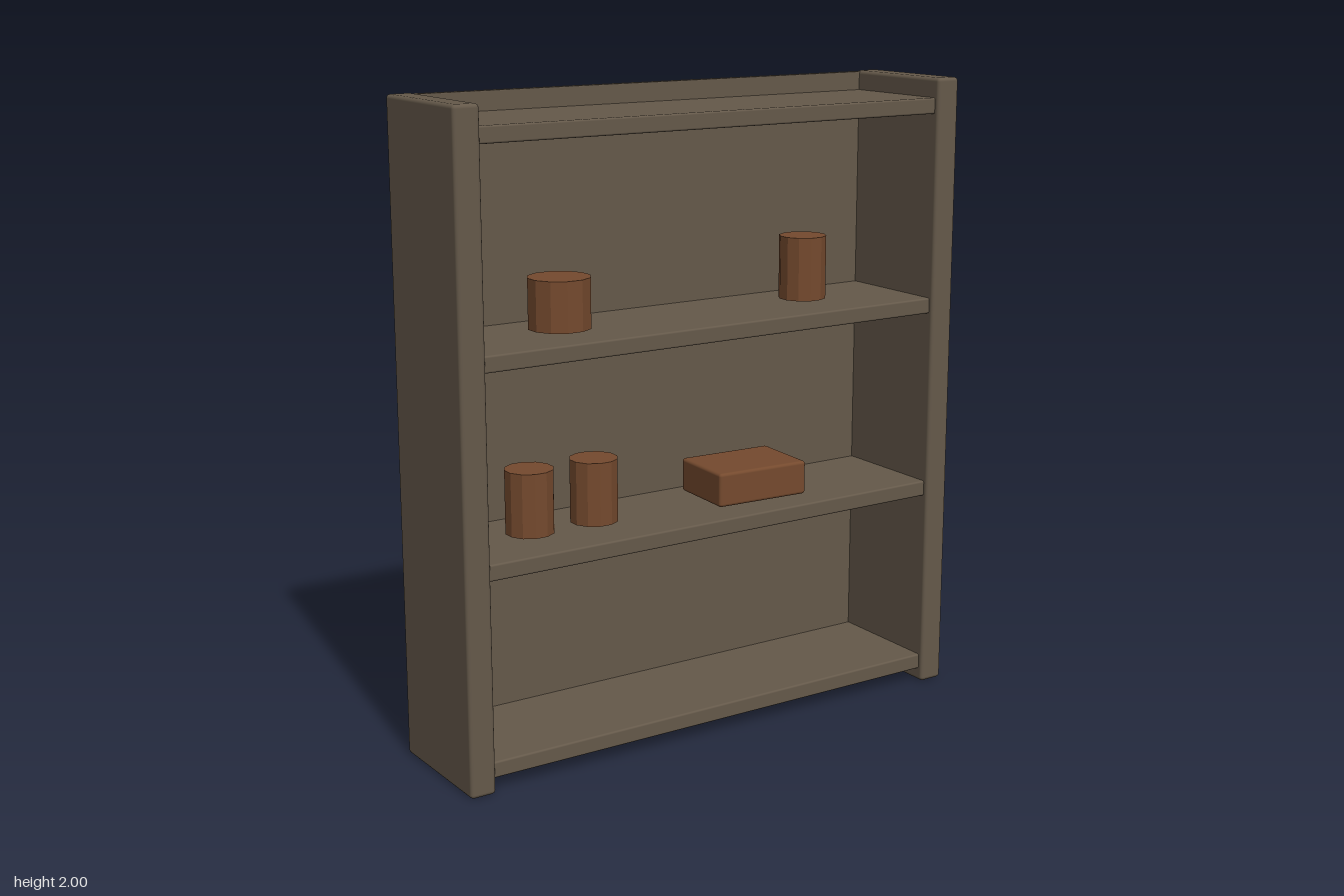
import * as THREE from 'three';
import { RoundedBoxGeometry } from 'three/addons/geometries/RoundedBoxGeometry.js';

export function createModel() {
  const model = new THREE.Group();
  model.name = 'wallShelf';

  const wood = new THREE.MeshStandardMaterial({ color: 0x65594a });
  wood.name = 'greyBrownWood';
  const clay = new THREE.MeshStandardMaterial({ color: 0x754a2e });
  clay.name = 'warmBrown';

  const add = (name, geometry, material, x, y, z) => {
    const mesh = new THREE.Mesh(geometry, material);
    mesh.name = name;
    mesh.position.set(x, y, z);
    model.add(mesh);
    return mesh;
  };
  const board = (w, h, d, bevel) => new RoundedBoxGeometry(w, h, d, 2, bevel);

  // Upright side panels
  for (const [name, side] of [['leftPanel', 1], ['rightPanel', -1]]) {
    add(name, board(0.082, 2, 0.418, 0.012), wood, side * 0.845, 1, 0.003);
  }

  // Back panel, let into the sides
  add('backPanel', board(1.665, 1.994, 0.026, 0.003), wood, 0, 1, -0.2);

  // Horizontal shelves, slightly set back from the front
  [0.067, 0.669, 1.277, 1.913].forEach((y, i) => {
    add('shelf' + (i + 1), board(1.63, 0.05, 0.387, 0.006), wood, 0, y, 0.0015);
  });

  // Faceted jars: x, base height, radius, height
  const jars = [
    [-0.447, 1.312, 0.096, 0.153],
    [0.441, 1.312, 0.075, 0.2],
    [-0.56, 0.703, 0.075, 0.197],
    [-0.337, 0.703, 0.075, 0.197],
  ];
  jars.forEach(([x, base, r, h], i) => {
    const geometry = new THREE.CylinderGeometry(r, r, h, 12).rotateY(Math.PI / 12).toNonIndexed();
    geometry.computeVertexNormals();
    add('jar' + (i + 1), geometry, clay, x, base + h / 2, 0);
  });

  // Small box lying slightly askew on the middle shelf
  add('smallBox', board(0.32, 0.108, 0.235, 0.01), clay, 0.219, 0.757, 0).rotation.y = -0.05;

  return model;
}
